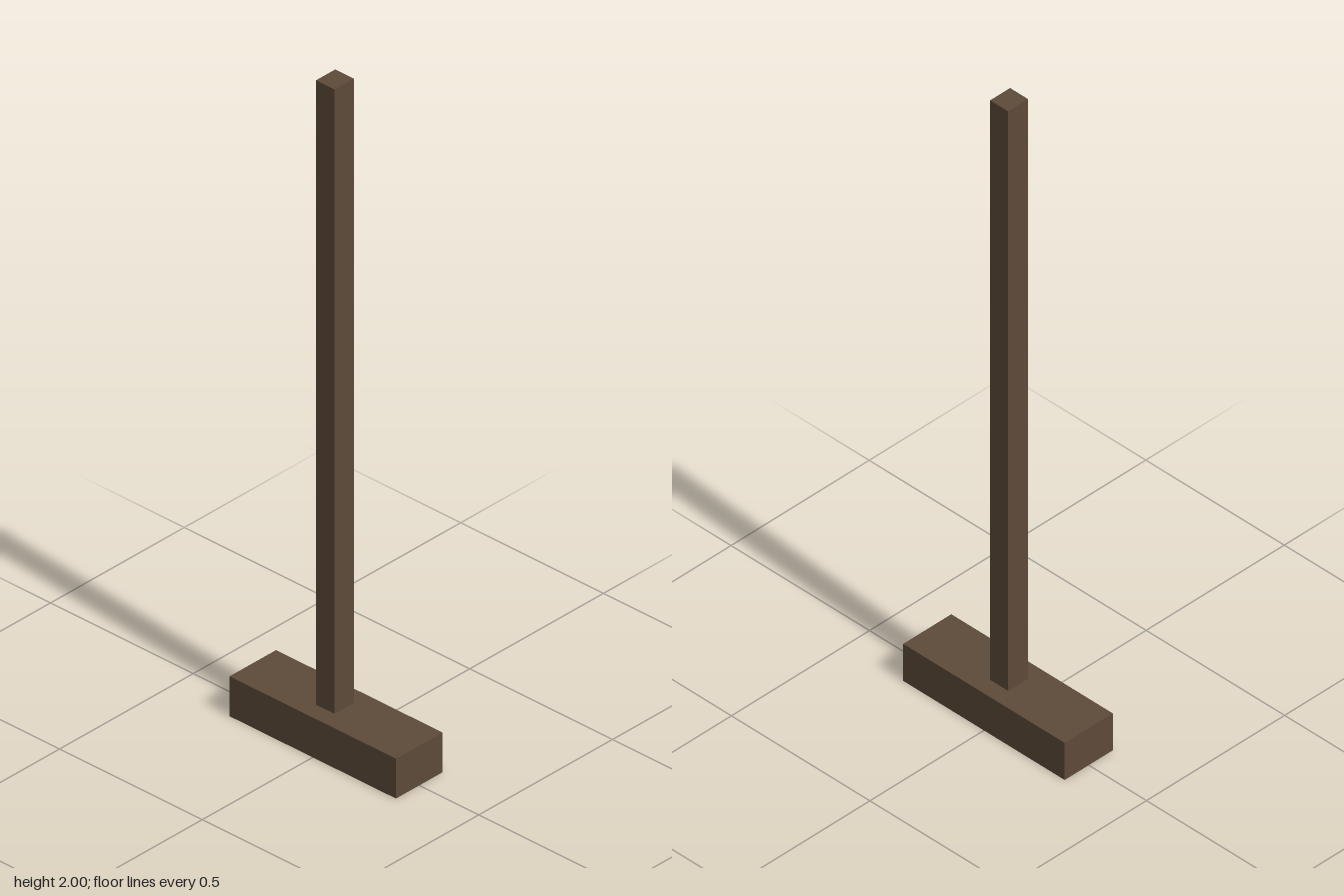
import * as THREE from 'three';

export function createModel() {
  const group = new THREE.Group();
  const wood = new THREE.MeshStandardMaterial({ color: 0x5e4a3a });
  wood.name = 'dark brown wood';

  // Box placed by its centre in x and z and by its underside in y
  const block = (name, w, h, d, y, z) => {
    const mesh = new THREE.Mesh(new THREE.BoxGeometry(w, h, d), wood);
    mesh.name = name;
    mesh.position.set(0, y + h / 2, z);
    group.add(mesh);
  };

  // Heavy foot, long from front to back
  block('base', 0.174, 0.12, 0.583, 0, 0);
  // Upright post, set slightly behind the middle of the foot
  block('post', 0.072, 1.88, 0.065, 0.12, -0.004);

  return group;
}
